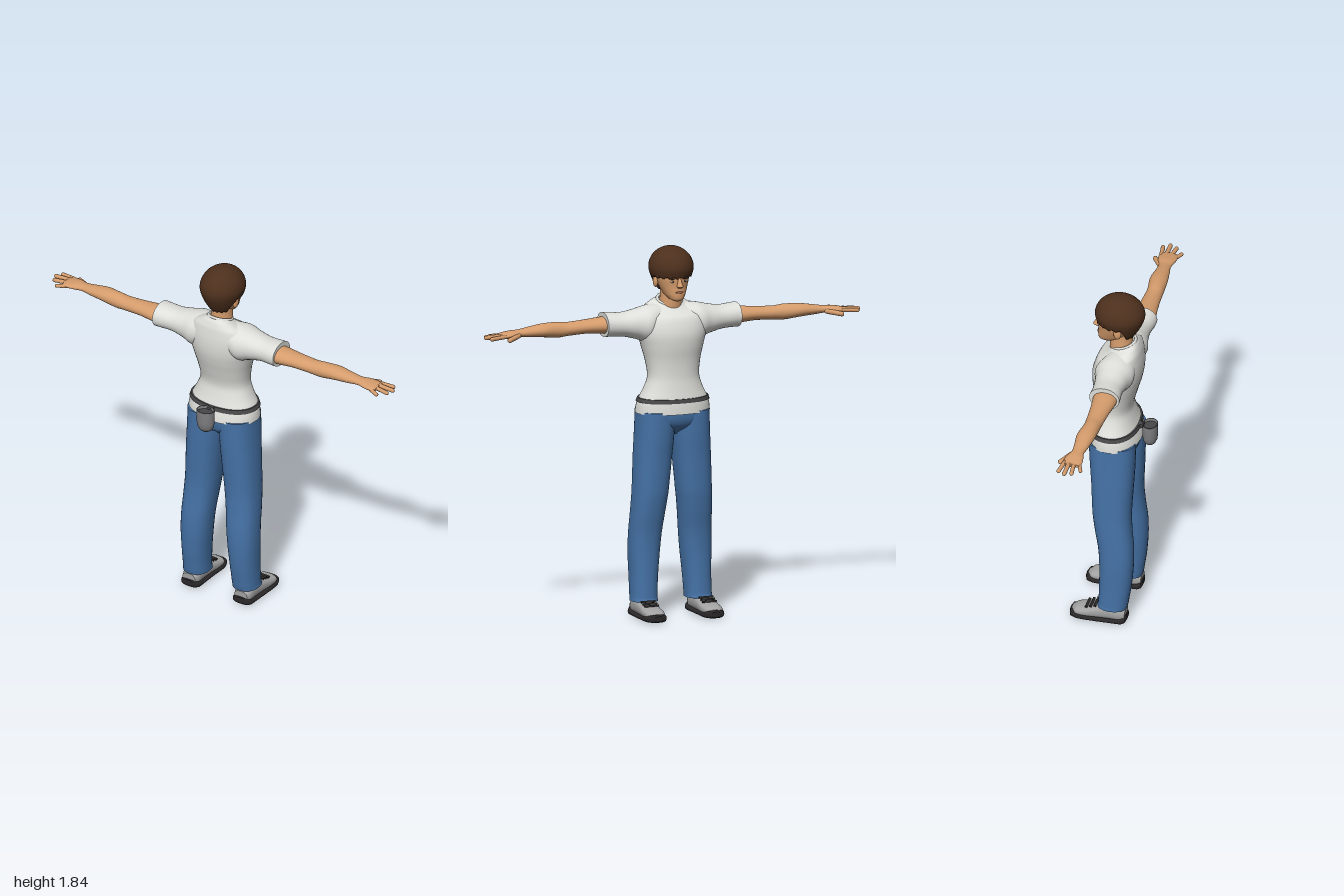
import * as THREE from 'three';

const mat = (name, color) => { const m = new THREE.MeshStandardMaterial({ color }); m.name = name; return m; };

// Catmull-Rom blend between b and c
const blend = (a, b, c, d, f) =>
  b + 0.5 * f * (c - a + f * (2 * a - 5 * b + 4 * c - d + f * (3 * (b - c) + d - a)));

// Smooth tube of elliptical sections along an axis.
// Stations: [t, u0, u1, v0, v1]; (u, v) is (z, x) for y, (y, z) for x, (x, y) for z.
function loft(axis, st, pow = 2, seg = 32, sub = 5) {
  const place = { x: (t, u, v) => [t, u, v], y: (t, u, v) => [v, t, u], z: (t, u, v) => [u, v, t] }[axis];
  const rings = [], at = i => st[Math.min(Math.max(i, 0), st.length - 1)];
  for (let i = 0; i <= (st.length - 1) * sub; i++) {
    const s = Math.floor(i / sub), f = (i % sub) / sub;
    const a = at(s - 1), b = at(s), c = at(s + 1), d = at(s + 2);
    rings.push(b.map((v, j) => (j === 0 ? v + (c[0] - v) * f : blend(a[j], v, c[j], d[j], f))));
  }
  const pos = [], idx = [];
  const bulge = w => Math.sign(w) * Math.pow(Math.abs(w), 2 / pow);
  const ring = ([t, u0, u1, v0, v1]) => {
    for (let s = 0; s < seg; s++) {
      const a = s / seg * Math.PI * 2;
      const u = (u0 + u1) / 2 + (u1 - u0) / 2 * bulge(Math.cos(a));
      const v = (v0 + v1) / 2 + (v1 - v0) / 2 * bulge(Math.sin(a));
      pos.push(...place(t, u, v));
    }
  };
  rings.forEach(ring);
  for (let r = 0; r < rings.length - 1; r++) for (let s = 0; s < seg; s++) {
    const a = r * seg + s, b = r * seg + (s + 1) % seg;
    idx.push(a, b, b + seg, a, b + seg, a + seg);
  }
  // End caps with their own vertices, so that the rims stay crisp
  [[rings[0], true], [rings[rings.length - 1], false]].forEach(([r, first]) => {
    const base = pos.length / 3;
    ring(r);
    pos.push(...place(r[0], (r[1] + r[2]) / 2, (r[3] + r[4]) / 2));
    for (let s = 0; s < seg; s++) {
      const a = base + s, b = base + (s + 1) % seg;
      idx.push(...(first ? [b, a, base + seg] : [a, b, base + seg]));
    }
  });
  return build(pos, idx);
}

function build(pos, idx) {
  const g = new THREE.BufferGeometry();
  g.setAttribute('position', new THREE.Float32BufferAttribute(pos, 3));
  g.setIndex(idx);
  g.computeVertexNormals();
  return g;
}

// Mirror across x, keeping the faces outward
function mirrored(geo) {
  const g = geo.clone(), p = g.attributes.position, n = g.attributes.normal, ix = g.index.array;
  for (let i = 0; i < p.count; i++) { p.setX(i, -p.getX(i)); n.setX(i, -n.getX(i)); }
  for (let i = 0; i < ix.length; i += 3) [ix[i], ix[i + 1]] = [ix[i + 1], ix[i]];
  return g;
}

// Rounded finger between two points
function finger(a, b, r) {
  const A = new THREE.Vector3(...a), B = new THREE.Vector3(...b), d = B.clone().sub(A);
  const q = new THREE.Quaternion().setFromUnitVectors(new THREE.Vector3(0, 1, 0), d.clone().normalize());
  const m = A.clone().add(B).multiplyScalar(0.5);
  return new THREE.CapsuleGeometry(r, d.length() - r, 5, 10).applyQuaternion(q).translate(m.x, m.y, m.z);
}

const ball = (x, y, z, rx, ry, rz) => new THREE.SphereGeometry(1, 18, 12).scale(rx, ry, rz).translate(x, y, z);

// Bowl-cut hair: rounded crown, jagged fringe, longer nape
function hairGeometry() {
  const seg = 72, rows = 22, pos = [], idx = [], mid = 1.735;
  for (let r = 0; r <= rows + 1; r++) for (let s = 0; s < seg; s++) {
    const a = s / seg * Math.PI * 2, dz = Math.cos(a), dx = Math.sin(a);
    const nape = THREE.MathUtils.smoothstep(dz, 0.2, 0.65);
    const edge = 1.695 - 0.072 * nape + (s % 4 < 2 ? 0.004 : -0.004);
    const f = Math.min(r, rows) / rows;
    let y, k;
    if (f < 0.6) {
      const w = f / 0.6 * Math.PI / 2;
      y = mid + 0.105 * Math.cos(w);
      k = Math.sin(w);
    } else {
      y = mid + (edge - mid) * (f - 0.6) / 0.4;
      k = 1 - 0.42 * Math.pow(Math.max(0, mid - y) / 0.115, 1.5);
    }
    if (r > rows) k *= 0.82;
    pos.push(dx * 0.109 * k, y, 0.005 + dz * 0.125 * k);
  }
  for (let r = 0; r <= rows; r++) for (let s = 0; s < seg; s++) {
    const a = r * seg + s, b = r * seg + (s + 1) % seg;
    idx.push(a, b + seg, b, a, a + seg, b + seg);
  }
  return build(pos, idx);
}

export function createModel() {
  const skin = mat('skin', 0xd59c6c), hair = mat('brown hair', 0x4d301d), shirt = mat('white shirt', 0xdededa);
  const denim = mat('blue denim', 0x4572a6), belt = mat('dark belt', 0x48484a), metal = mat('grey pouch', 0x7d7d80);
  const shoe = mat('grey shoe', 0xa3a3a3), sole = mat('black sole', 0x2b282a);
  const white = mat('eye white', 0xe8e6e0), lip = mat('lips', 0xb5745a);
  hair.side = metal.side = THREE.DoubleSide;
  const root = new THREE.Group();
  root.name = 'standingMan';
  const add = (name, g, m) => { const o = new THREE.Mesh(g, m); o.name = name; root.add(o); };
  const pair = (name, g, m) => { add('left' + name, g, m); add('right' + name, mirrored(g), m); };
  // Sections symmetrical in x: [y, zFront, zBack, halfWidth]
  const column = (rows, pow) => loft('y', rows.map(([y, a, b, w]) => [y, a, b, -w, w]), pow, 40);

  // Shirt body, with the collar sloping down to the front
  const torso = column([[1.02, -.14, .12, .19], [1.08, -.134, .104, .18], [1.14, -.123, .084, .15], [1.2, -.115, .072, .131],
    [1.28, -.116, .09, .14], [1.36, -.125, .112, .16], [1.42, -.124, .121, .176], [1.48, -.105, .12, .178],
    [1.53, -.072, .112, .15], [1.56, -.048, .1, .1], [1.58, -.035, .088, .066]], 2.2);
  const p = torso.attributes.position;
  for (let i = 0; i < p.count; i++) {
    const y = p.getY(i);
    if (y > 1.5) p.setY(i, y + (p.getZ(i) - .06) * .35 * (y - 1.5) / .08);
  }
  torso.computeVertexNormals();
  add('shirtBody', torso, shirt);
  add('collar', new THREE.TorusGeometry(.06, .007, 8, 36).rotateX(Math.PI / 2).rotateX(-.34).translate(0, 1.569, .027), shirt);
  pair('Sleeve', loft('x', [[.05, 1.42, 1.555, -.05, .1], [.13, 1.372, 1.55, -.085, .11], [.19, 1.388, 1.536, -.07, .095],
    [.26, 1.405, 1.524, -.058, .088], [.33, 1.408, 1.528, -.055, .096], [.355, 1.408, 1.53, -.055, .097]], 2.1), shirt);

  // Arms and hands
  pair('Arm', loft('x', [[.3, 1.42, 1.51, -.04, .08], [.36, 1.425, 1.507, -.035, .085], [.45, 1.431, 1.5, -.025, .074],
    [.55, 1.427, 1.495, -.02, .065], [.6, 1.423, 1.5, -.02, .063], [.68, 1.432, 1.499, -.03, .06], [.76, 1.438, 1.488, -.022, .05],
    [.81, 1.443, 1.48, -.02, .042], [.85, 1.442, 1.478, -.035, .05], [.89, 1.442, 1.472, -.042, .054], [.918, 1.447, 1.466, -.038, .048]]), skin);
  [['Thumb', [.815, 1.455, -.015], [.888, 1.442, -.06], .0125], ['IndexFinger', [.895, 1.457, -.031], [.977, 1.452, -.043], .0105],
    ['MiddleFinger', [.9, 1.459, -.008], [.995, 1.454, -.009], .0108], ['RingFinger', [.9, 1.457, .016], [.982, 1.452, .025], .0105],
    ['LittleFinger', [.885, 1.454, .038], [.945, 1.449, .062], .0095]].forEach(([n, a, b, r]) => pair(n, finger(a, b, r), skin));

  // Jeans
  add('jeansHips', column([[.91, -.05, .04, .05], [.95, -.105, .09, .15], [.985, -.125, .105, .18], [1.03, -.13, .11, .184]], 2.3), denim);
  pair('JeansLeg', loft('y', [[.08, -.068, .082, .078, .212], [.1, -.063, .086, .078, .21], [.2, -.06, .1, .073, .21],
    [.32, -.06, .109, .062, .213], [.42, -.067, .108, .053, .211], [.52, -.085, .098, .042, .207], [.62, -.1, .093, .029, .202],
    [.8, -.11, .101, .012, .195], [.92, -.12, .106, .002, .188], [1.03, -.125, .108, 0, .183]], 2.3), denim);

  // Shoes: dark sole and toe, grey upper, laces
  pair('ShoeSole', loft('z', [[-.203, .128, .176, .008, .034], [-.195, .108, .198, .002, .042], [-.16, .096, .212, 0, .036],
    [-.08, .1, .21, 0, .026], [0, .1, .207, 0, .026], [.06, .098, .207, 0, .036], [.078, .108, .196, .004, .044], [.083, .122, .18, .014, .04]], 3), sole);
  pair('ShoeUpper', loft('z', [[-.192, .125, .18, .015, .044], [-.17, .106, .202, .012, .058], [-.12, .102, .206, .012, .068],
    [-.07, .104, .204, .012, .085], [0, .105, .202, .012, .1], [.05, .106, .2, .012, .09], [.077, .116, .19, .018, .074]], 2.5), shoe);
  for (let i = 0; i < 3; i++) {
    pair('Lace' + (i + 1), new THREE.BoxGeometry(.074, .009, .013).rotateX(.3).translate(.154, .086 - i * .007, -.072 - i * .022), sole);
  }

  // Belt and the open pouch behind it
  add('belt', column([[1.076, -.14, .111, .187], [1.096, -.137, .106, .18]], 2.2), belt);
  const cup = [[0, .98], [.018, .983], [.033, .993], [.043, 1.01], [.047, 1.035], [.048, 1.1], [.043, 1.1], [.042, 1.085]];
  add('pouch', new THREE.LatheGeometry(cup.map(([x, y]) => new THREE.Vector2(x, y)), 32).scale(1, 1, .8).translate(0, 0, .158), metal);
  add('pouchInside', new THREE.CircleGeometry(.043, 32).rotateX(-Math.PI / 2).scale(1, 1, .8).translate(0, 1.086, .158), belt);
  add('pouchClip', new THREE.BoxGeometry(.03, .02, .03).translate(0, 1.086, .112), belt);

  // Neck, head and face
  add('neck', column([[1.5, -.04, .08, .062], [1.56, -.045, .07, .054], [1.62, -.045, .068, .05], [1.67, -.04, .07, .052]]), skin);
  add('head', column([[1.578, -.09, -.05, .018], [1.588, -.102, -.01, .036], [1.61, -.105, .035, .052], [1.65, -.103, .072, .069],
    [1.69, -.105, .092, .08], [1.75, -.1, .1, .082], [1.8, -.06, .07, .045]], 2.1), skin);
  add('nose', column([[1.645, -.112, -.085, .008], [1.654, -.131, -.085, .015], [1.67, -.124, -.085, .011], [1.7, -.108, -.085, .007]]), skin);
  add('mouth', ball(0, 1.624, -.103, .022, .005, .005), lip);
  pair('Ear', ball(.08, 1.668, .012, .012, .03, .019), skin);
  pair('Eye', ball(.031, 1.679, -.094, .013, .006, .005), white);
  pair('Pupil', ball(.031, 1.679, -.0975, .005, .005, .003), sole);
  pair('Eyebrow', ball(.032, 1.693, -.096, .018, .004, .006), hair);
  add('hair', hairGeometry(), hair);
  return root;
}
